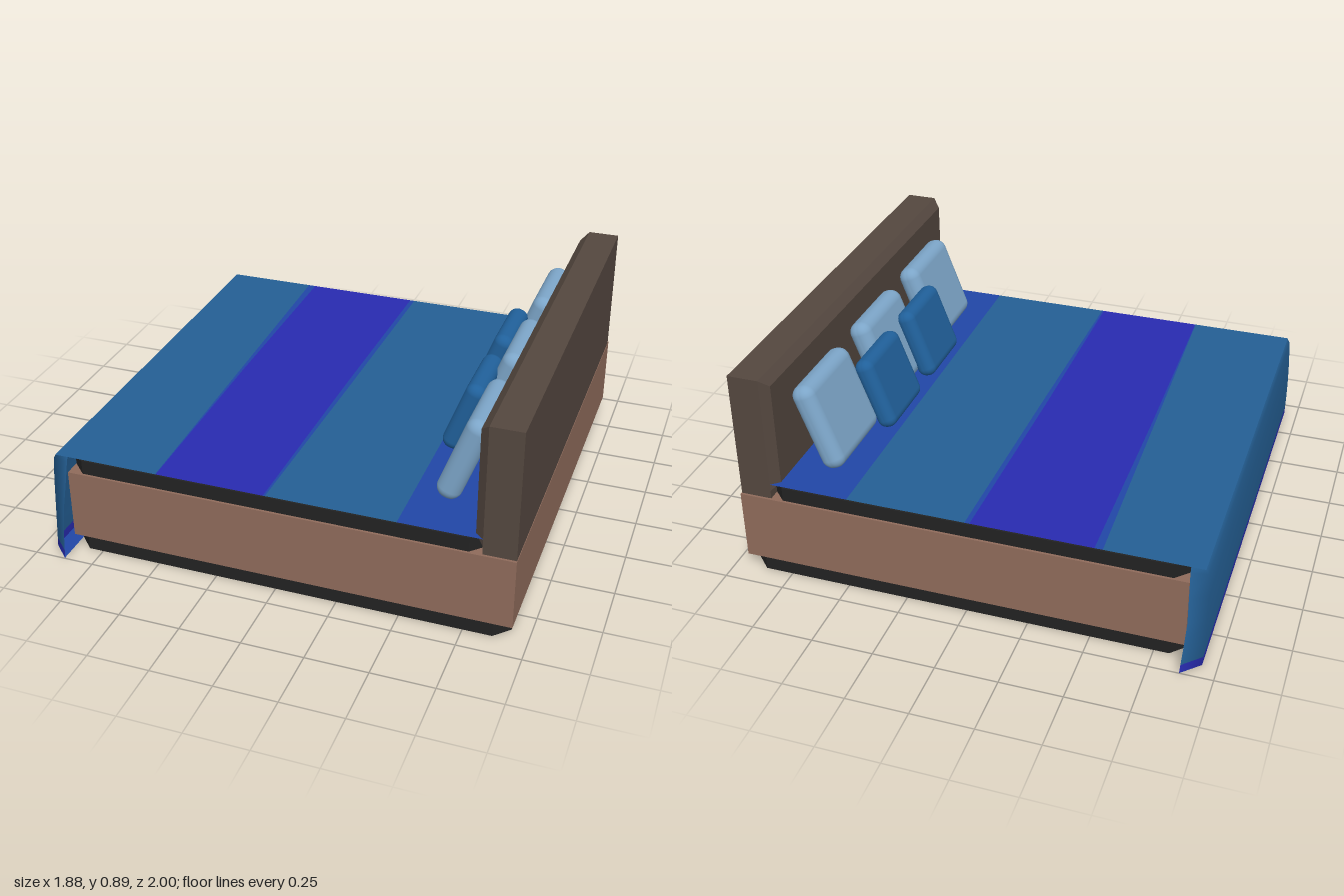
import * as THREE from 'three';
import { RoundedBoxGeometry } from 'three/addons/geometries/RoundedBoxGeometry.js';

const mat = (name, color, side = THREE.FrontSide) => {
  const m = new THREE.MeshStandardMaterial({ color, side });
  m.name = name;
  return m;
};

// Surface through cross-sections that all have the same number of points
function loft(sections, flat = false) {
  const n = sections[0].length, index = [];
  for (let i = 0; i < sections.length - 1; i++) {
    for (let j = 0; j < n - 1; j++) {
      const a = i * n + j, b = a + n;
      index.push(a, b, a + 1, a + 1, b, b + 1);
    }
  }
  let g = new THREE.BufferGeometry();
  g.setAttribute('position', new THREE.Float32BufferAttribute(sections.flat(2), 3));
  g.setIndex(index);
  if (flat) g = g.toNonIndexed();
  g.computeVertexNormals();
  return g;
}

// Upright slab with chamfered corners
function slab(x0, x1, z, y0, y1, c) {
  const s = new THREE.Shape([
    [x0 + c, -z], [x1 - c, -z], [x1, -z + c], [x1, z - c],
    [x1 - c, z], [x0 + c, z], [x0, z - c], [x0, -z + c],
  ].map(([x, y]) => new THREE.Vector2(x, y)));
  const g = new THREE.ExtrudeGeometry(s, { depth: y1 - y0, bevelEnabled: false });
  return g.rotateX(-Math.PI / 2).translate(0, y0, 0);
}

export function createModel() {
  const model = new THREE.Group();
  model.name = 'bed';
  const wood = mat('warm wood', 0x8f6b5b);
  const darkWood = mat('dark wood', 0x54473f);
  const black = mat('black base', 0x222222);
  const steel = mat('steel blue cloth', 0x245f94, THREE.DoubleSide);
  const violet = mat('violet blue cloth', 0x282bb0, THREE.DoubleSide);
  const royal = mat('royal blue cloth', 0x2146a6, THREE.DoubleSide);
  const paleBlue = mat('pale blue pillow', 0x7ca5c8);
  const deepBlue = mat('deep blue pillow', 0x20609a);

  const add = (name, geometry, material) => {
    const m = new THREE.Mesh(geometry, material);
    m.name = name;
    model.add(m);
    return m;
  };
  const box = (name, material, x0, x1, y0, y1, z) =>
    add(name, new THREE.BoxGeometry(x1 - x0, y1 - y0, 2 * z), material)
      .position.set((x0 + x1) / 2, (y0 + y1) / 2, 0);

  // Base, frame and mattress
  add('plinth', slab(-0.87, 0.925, 0.905, 0, 0.07, 0.06), black);
  box('bedFrame', wood, -0.87, 0.94, 0.06, 0.355, 0.91);
  add('mattress', slab(-0.87, 0.82, 0.9, 0.35, 0.414, 0.06), black);

  // Headboard with a bevelled front panel
  box('headboard', darkWood, 0.81, 0.938, 0.355, 0.89, 0.9);
  const ring = (x, y0, y1, z) => [[x, y1, -z], [x, y1, z], [x, y0, z], [x, y0, -z], [x, y1, -z]];
  add('headboardPanel', loft([
    ring(0.81, 0.39, 0.89, 0.9),
    ring(0.776, 0.42, 0.857, 0.87),
    ring(0.776, 0.64, 0.64, 0),
  ], true), darkWood);

  // Blanket bands: boundary x at the back, middle and front of the bed
  const zs = [-0.9, 0, 0.9];
  const edges = [
    [-0.925, -0.925, -0.925], [-0.54, -0.515, -0.49], [-0.508, -0.503, -0.488],
    [-0.02, -0.035, -0.042], [0.0, -0.015, -0.034], [0.485, 0.485, 0.485], [0.81, 0.81, 0.81],
  ];
  [steel, royal, violet, royal, steel, royal].forEach((m, k) => {
    add('blanketBand', loft(zs.map((z, i) => [[edges[k][i], 0.42, z], [edges[k + 1][i], 0.42, z]])), m);
  });

  // Blanket end hanging over the foot, flaring out into a flap at each corner
  const row = ([y, x, zc, flapX, flapZ]) =>
    [[flapX, y, -flapZ], [x, y, -zc], [x, y, 0], [x, y, zc], [flapX, y, flapZ]];
  const drape = [
    [0.42, -0.925, 0.895, -0.87, 0.9],
    [0.4, -0.935, 0.897, -0.87, 0.908],
    [0.3, -0.942, 0.9, -0.875, 0.93],
    [0.2, -0.945, 0.905, -0.88, 0.955],
    [0.1, -0.945, 0.915, -0.876, 0.98],
    [0.035, -0.943, 0.925, -0.872, 0.994],
    [0, -0.942, 0.93, -0.87, 1.0],
  ].map(row);
  add('blanketDrape', loft(drape.slice(0, 6)), steel);
  add('blanketHem', loft(drape.slice(5)), violet);
  add('hemUnderside', loft([
    [[-0.942, 0.002, -0.93], [-0.942, 0.002, 0.93]],
    [[-0.872, 0.002, -1.0], [-0.872, 0.002, 1.0]],
  ]), royal);

  // Pillows leaning on the headboard
  const pillows = (name, material, size, radius, x, y, centres) => {
    const g = new RoundedBoxGeometry(...size, 5, radius);
    for (const z of centres) {
      const p = add(name, g, material);
      p.position.set(x, y, z);
      p.rotation.z = -0.36;
    }
  };
  pillows('largePillow', paleBlue, [0.1, 0.375, 0.39], 0.046, 0.672, 0.6, [-0.555, -0.015, 0.525]);
  pillows('smallPillow', deepBlue, [0.085, 0.315, 0.325], 0.039, 0.58, 0.572, [-0.238, 0.205]);

  return model;
}
